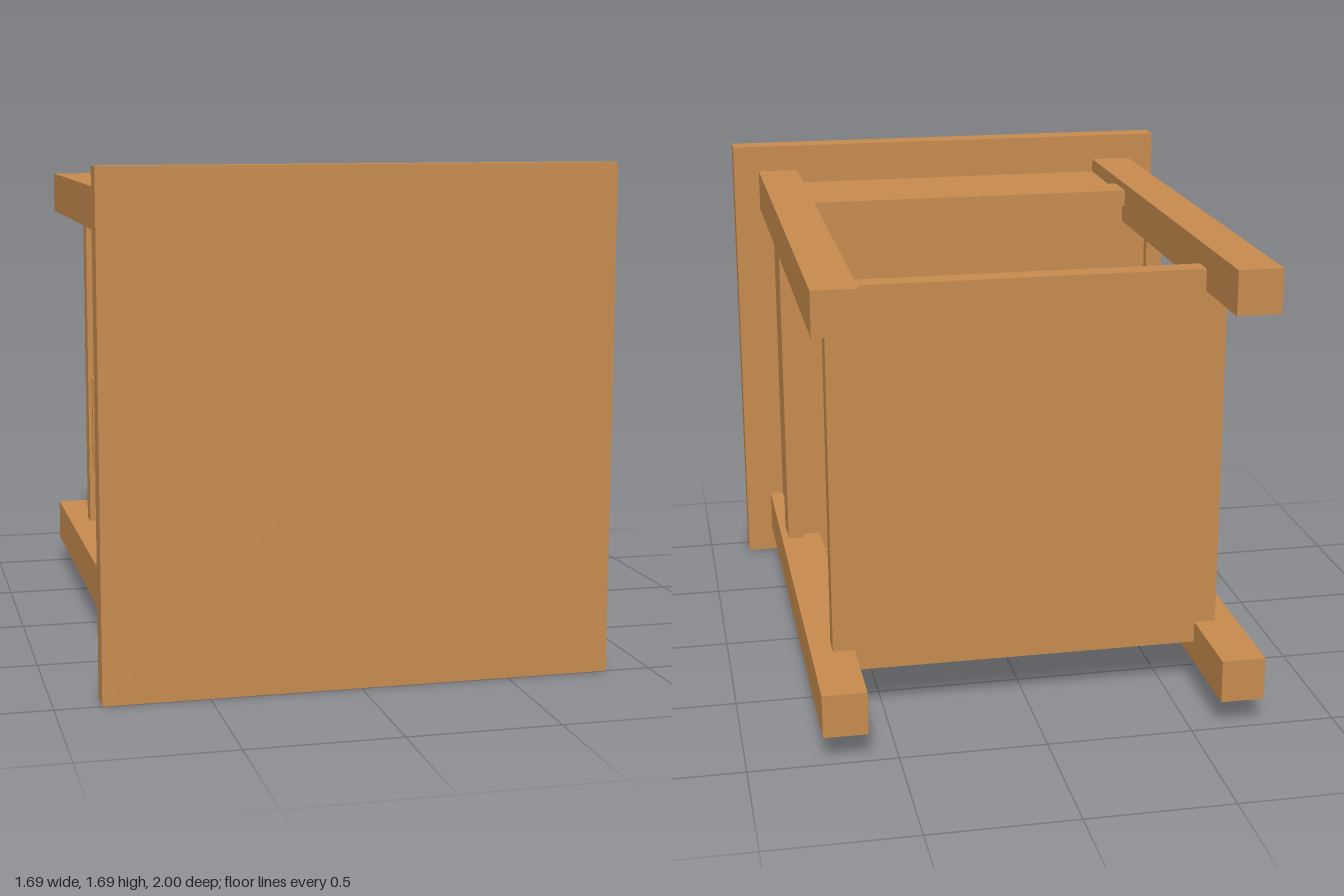
import * as THREE from 'three';

export function createModel() {
  const group = new THREE.Group();
  const wood = new THREE.MeshStandardMaterial({ color: 0xc68b4e });
  wood.name = 'wood';
  const midY = 0.85;

  // Box given by its extents; y is measured from the middle of the table
  function box(name, [x0, x1], [y0, y1], [z0, z1]) {
    const mesh = new THREE.Mesh(new THREE.BoxGeometry(x1 - x0, y1 - y0, z1 - z0), wood);
    mesh.position.set((x0 + x1) / 2, midY + (y0 + y1) / 2, (z0 + z1) / 2);
    mesh.name = name;
    group.add(mesh);
  }

  // Table tipped on its side: the top faces forward, the legs point back
  box('tableTop', [-0.847, 0.847], [-0.847, 0.847], [0.912, 1]);
  for (const sx of [-1, 1]) for (const sy of [-1, 1]) {
    const span = (s) => (s > 0 ? [0.6, 0.75] : [-0.75, -0.6]);
    box('leg', span(sx), span(sy), [-1, 0.912]);
  }
  box('shelf', [-0.675, 0.675], [-0.675, 0.675], [-0.67, -0.592]);

  // Recessed apron panels, each with a raised rail along its edge
  for (const s of [-1, 1]) {
    const span = (a, b) => (s > 0 ? [a, b] : [-b, -a]);
    box('apronPanel', [-0.62, 0.62], span(0.665, 0.7), [0.53, 0.912]);
    box('apronRail', [-0.62, 0.62], span(0.665, 0.725), [0.393, 0.53]);
  }
  box('endPanel', [0.665, 0.7], [-0.62, 0.62], [0.53, 0.912]);
  box('endRail', [0.665, 0.725], [-0.62, 0.62], [0.393, 0.53]);

  // Drawer: front flush with the legs, and its bottom closing the frame
  box('drawerFront', [-0.75, -0.69], [-0.6, 0.6], [0.393, 0.912]);
  box('drawerBottom', [-0.69, 0.665], [-0.665, 0.665], [0.43, 0.47]);

  // Pull: neck with a rounded head, extruded along the drawer front
  const profile = new THREE.Shape();
  profile.moveTo(0, -0.012);
  profile.lineTo(0.028, -0.012);
  profile.lineTo(0.038, -0.018);
  profile.lineTo(0.056, -0.018);
  profile.lineTo(0.07, -0.008);
  profile.lineTo(0.07, 0.008);
  profile.lineTo(0.056, 0.018);
  profile.lineTo(0.038, 0.018);
  profile.lineTo(0.028, 0.012);
  profile.lineTo(0, 0.012);
  const pullGeometry = new THREE.ExtrudeGeometry(profile, { depth: 0.3, bevelEnabled: false });
  pullGeometry.translate(0, 0, -0.15);
  pullGeometry.rotateX(-Math.PI / 2);
  pullGeometry.rotateY(Math.PI);
  const pull = new THREE.Mesh(pullGeometry, wood);
  pull.position.set(-0.75, midY, 0.655);
  pull.name = 'drawerPull';
  group.add(pull);

  return group;
}
